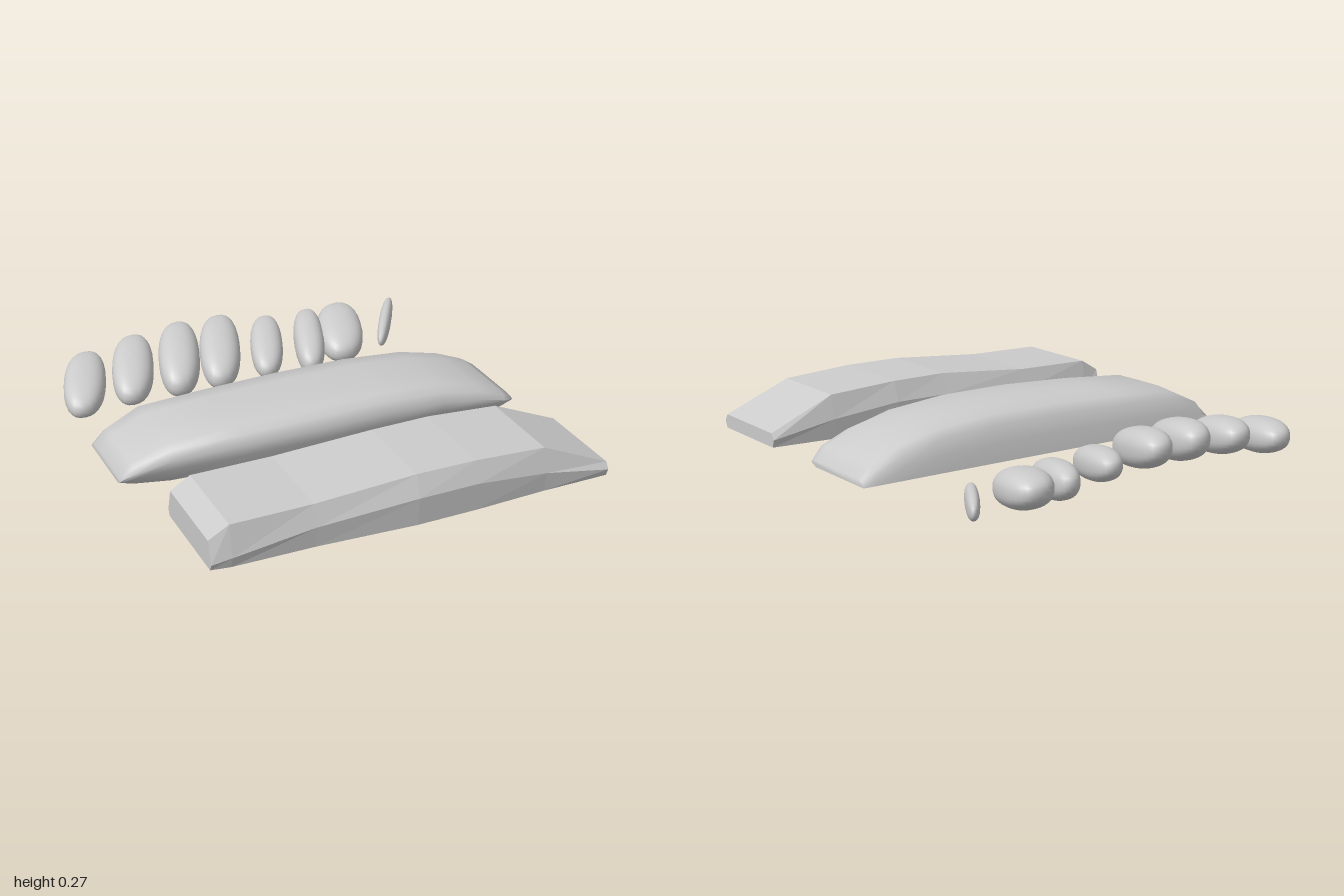
import * as THREE from 'three';
import { toCreasedNormals } from 'three/addons/utils/BufferGeometryUtils.js';

// Skin a row of [z, y] rings (back-bottom, over the top, front-bottom) along x, with end caps
function loft(stations) {
  const n = stations[0].ring.length, pos = [], idx = [];
  for (const { x, ring } of stations) for (const [z, y] of ring) pos.push(x, y, z);
  const last = (stations.length - 1) * n;
  for (let k = 0; k < last; k += n) {
    for (let j = 0; j < n; j++) {
      const a = k + j, b = k + (j + 1) % n;
      idx.push(a, b, a + n, b, b + n, a + n);
    }
  }
  for (let j = 1; j < n - 1; j++) {
    idx.push(0, j + 1, j);
    idx.push(last, last + j, last + j + 1);
  }
  const geo = new THREE.BufferGeometry();
  geo.setAttribute('position', new THREE.Float32BufferAttribute(pos, 3));
  geo.setIndex(idx);
  geo.computeVertexNormals();
  return geo;
}

// Faceted loaf: x, bottom, shoulder height, top height, back z, front z, inset of top edge
function facetedLoaf() {
  const rows = [
    [-0.88, 0.06, 0.09, 0.19, 0.485, 0.975, 0.03],
    [-0.79, 0.055, 0.105, 0.245, 0.485, 0.98, 0.03],
    [-0.42, 0.055, 0.155, 0.25, 0.485, 0.98, 0.03],
    [0.04, 0.055, 0.19, 0.285, 0.495, 1.0, 0.04],
    [0.32, 0.055, 0.19, 0.285, 0.49, 0.993, 0.035],
    [0.66, 0.06, 0.155, 0.265, 0.495, 0.98, 0.03],
    [0.975, 0.065, 0.1, 0.13, 0.5, 0.98, 0.02],
  ];
  return loft(rows.map(([x, b, m, t, zb, zf, inset]) => ({
    x,
    ring: [[zb + 0.01, b], [zb, m], [zb + inset, t], [zf - inset, t], [zf, m], [zf - 0.015, b]],
  })));
}

// Smooth loaf: a leaning, rounded section that tapers towards both ends
function smoothLoaf() {
  const section = [
    [0, 0], [0.02, 0.4], [0.06, 0.75], [0.12, 0.95], [0.3, 1], [0.6, 1],
    [0.88, 0.99], [0.96, 0.88], [1, 0.65], [0.985, 0.4], [0.91, 0],
  ];
  // x, top height, back z, front z
  const rows = [
    [-0.985, 0.09, -0.235, 0.17], [-0.93, 0.155, -0.245, 0.21], [-0.77, 0.235, -0.26, 0.255],
    [-0.45, 0.257, -0.26, 0.28], [-0.1, 0.27, -0.26, 0.292], [0.25, 0.27, -0.26, 0.28],
    [0.55, 0.245, -0.262, 0.262], [0.75, 0.195, -0.264, 0.25], [0.89, 0.135, -0.265, 0.235],
    [0.96, 0.085, -0.265, 0.18],
  ];
  const geo = loft(rows.map(([x, top, zb, zf]) => ({
    x,
    ring: section.map(([u, v]) => [zb + (zf - zb) * u, 0.055 + (top - 0.055) * v]),
  })));
  return toCreasedNormals(geo, 1.1);
}

// Pebble-shaped slice: a swollen sphere sheared sideways and tipped up at the back
function slice(width, height, depth, lean, tip) {
  const geo = new THREE.SphereGeometry(1, 28, 20);
  const p = geo.attributes.position;
  const swell = (v) => Math.sign(v) * Math.abs(v) ** 0.85;
  for (let i = 0; i < p.count; i++) {
    const x = swell(p.getX(i)), y = swell(p.getY(i)), z = swell(p.getZ(i));
    p.setXYZ(i, width * x - lean * z, height * y - tip * z, depth * z);
  }
  geo.computeVertexNormals();
  return geo;
}

export function createModel() {
  const group = new THREE.Group();
  const add = (name, geo, flatShading = false) => {
    const mat = new THREE.MeshStandardMaterial({ color: 0xcccccc, flatShading, side: THREE.DoubleSide });
    const mesh = new THREE.Mesh(geo, mat);
    mesh.name = name;
    group.add(mesh);
    return mesh;
  };

  add('facetedLoaf', facetedLoaf(), true);
  add('smoothLoaf', smoothLoaf());

  // Row of slices: centre x, y, z, then half width, height, depth, sideways lean, tip
  const slices = [
    [-0.855, 0.115, -0.725, 0.105, 0.08, 0.225, 0.075, 0.03],
    [-0.615, 0.148, -0.717, 0.105, 0.085, 0.23, 0.075, 0.04],
    [-0.38, 0.162, -0.712, 0.105, 0.095, 0.24, 0.075, 0.045],
    [-0.167, 0.158, -0.715, 0.105, 0.09, 0.243, 0.08, 0.045],
    [0.085, 0.13, -0.727, 0.085, 0.075, 0.217, 0.075, 0.035],
    [0.325, 0.105, -0.748, 0.08, 0.085, 0.225, 0.075, 0.035],
    [0.51, 0.105, -0.778, 0.12, 0.085, 0.207, 0.06, 0.03],
    [0.78, 0.1, -0.805, 0.035, 0.055, 0.195, 0.118, 0.015],
  ];
  slices.forEach(([x, y, z, ...shape], i) => {
    add(`slice${i + 1}`, slice(...shape)).position.set(x, y, z);
  });
  return group;
}
